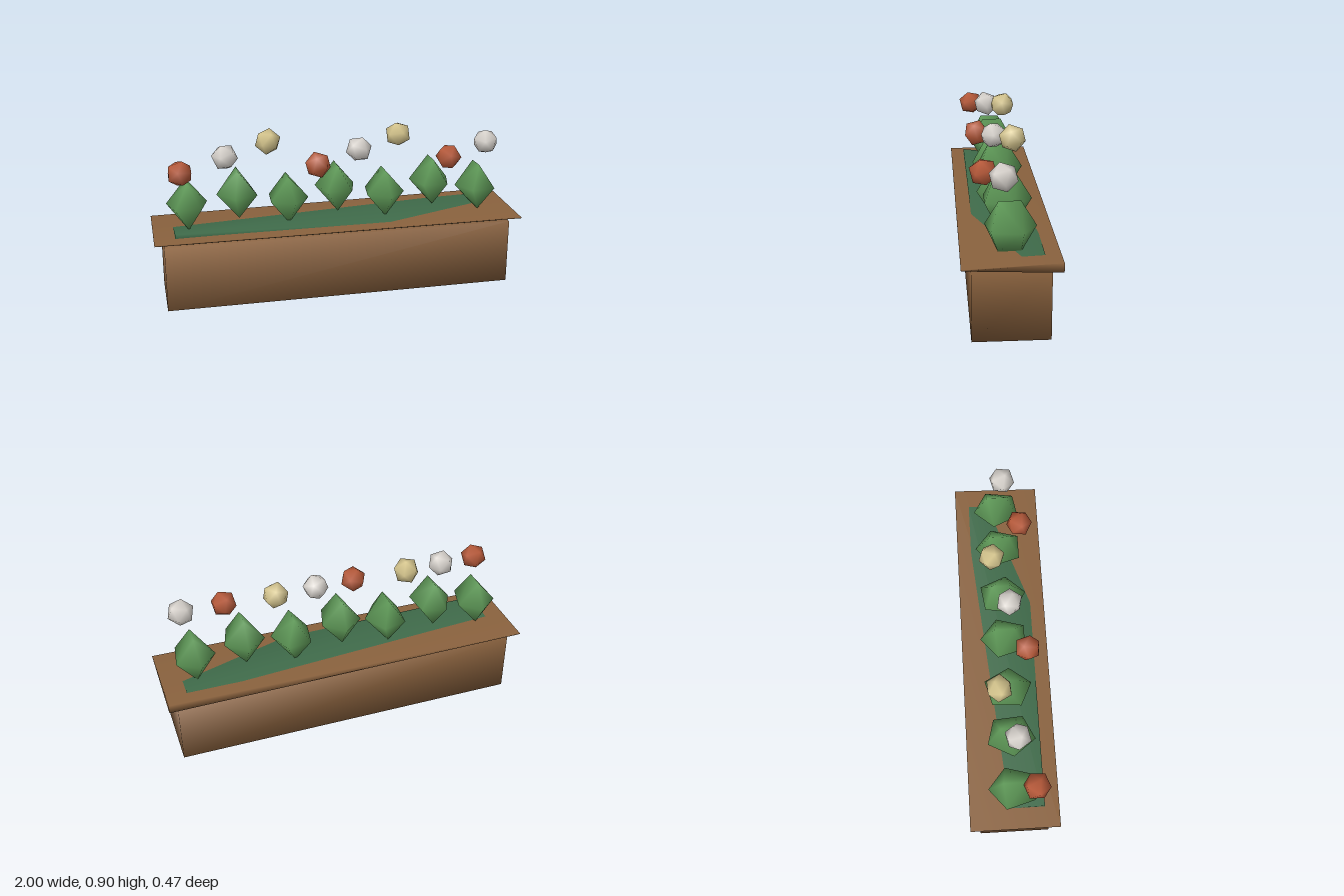
import * as THREE from 'three';
import { mergeVertices } from 'three/addons/utils/BufferGeometryUtils.js';
import { ConvexGeometry } from 'three/addons/geometries/ConvexGeometry.js';

const WOOD = 0x8a623e, SOIL = 0x3f6b4a, LEAF = 0x5f9a58;
const PETALS = [0xb85a3a, 0xdad5cf, 0xd6c68e];

// Weld corners so normals run smoothly over the coarse facets
function smooth(geometry) {
  geometry.deleteAttribute('normal');
  geometry.deleteAttribute('uv');
  const welded = mergeVertices(geometry, 1e-4);
  welded.computeVertexNormals();
  return welded;
}

function part(name, geometry, color) {
  const mesh = new THREE.Mesh(smooth(geometry), new THREE.MeshStandardMaterial({ color }));
  mesh.name = name;
  return mesh;
}

// Box whose corner heights come from a rule: height(isTop, isLeft, isFront)
function warpedSlab(halfX, halfZ, height) {
  const geometry = new THREE.BoxGeometry(2 * halfX, 1, 2 * halfZ);
  const p = geometry.attributes.position;
  for (let i = 0; i < p.count; i++) {
    p.setY(i, height(p.getY(i) > 0, p.getX(i) > 0, p.getZ(i) > 0));
  }
  return geometry;
}

// Faceted bush: short ridges at top and bottom, five-sided belt between them
function bushGeometry(turn) {
  const points = [];
  for (const s of [-1, 1]) {
    points.push(new THREE.Vector3(0, 0.13, 0.053 * s), new THREE.Vector3(0, -0.125, 0.055 * s));
  }
  for (let i = 0; i < 5; i++) {
    const a = turn + (i * 2 * Math.PI) / 5;
    points.push(new THREE.Vector3(0.115 * Math.sin(a), 0, -0.132 * Math.cos(a)));
  }
  return new ConvexGeometry(points);
}

export function createModel() {
  const model = new THREE.Group();
  model.name = 'flowerPlanter';

  // Trough
  model.add(part('trough', warpedSlab(0.95, 0.19, (top) => (top ? 0.355 : 0)), WOOD));

  // Rim: thin board that thickens towards its back left corner
  model.add(part('rim', warpedSlab(1, 0.237, (top, left, front) => {
    const thick = left && !front;
    return top ? (thick ? 0.412 : 0.391) : (thick ? 0.365 : 0.385);
  }), WOOD));

  // Soil: slopes down from one diagonal, so it dips under the rim at two corners
  model.add(part('soil', warpedSlab(0.89, 0.16, (top, left, front) => {
    if (!top) return 0.355;
    if (left !== front) return 0.414;
    return left ? 0.384 : 0.376;
  }), SOIL));

  // Row of bushes, alternately low and high
  const bushes = new THREE.Group();
  bushes.name = 'bushes';
  const turns = [0, -0.4, 0.4, 0, 0.5, 0, -0.15];
  turns.forEach((turn, i) => {
    const bush = part('bush', bushGeometry(turn), LEAF);
    bush.position.set((i - 3) * 0.27, i % 2 ? 0.57 : 0.522, 0);
    bushes.add(bush);
  });
  model.add(bushes);

  // Blossoms in three colours, stepping up and back
  const blossoms = new THREE.Group();
  blossoms.name = 'blossoms';
  for (let i = 0; i < 8; i++) {
    const step = i % 3;
    const blossom = part('blossom', new THREE.IcosahedronGeometry(0.072, 0), PETALS[step]);
    blossom.position.set((i - 3.5) * 0.242, 0.73 + 0.05 * step, 0.113 - 0.081 * step);
    blossom.rotation.set(0.25, 0, 0.35 + 0.5 * i);
    blossoms.add(blossom);
  }
  model.add(blossoms);

  return model;
}
